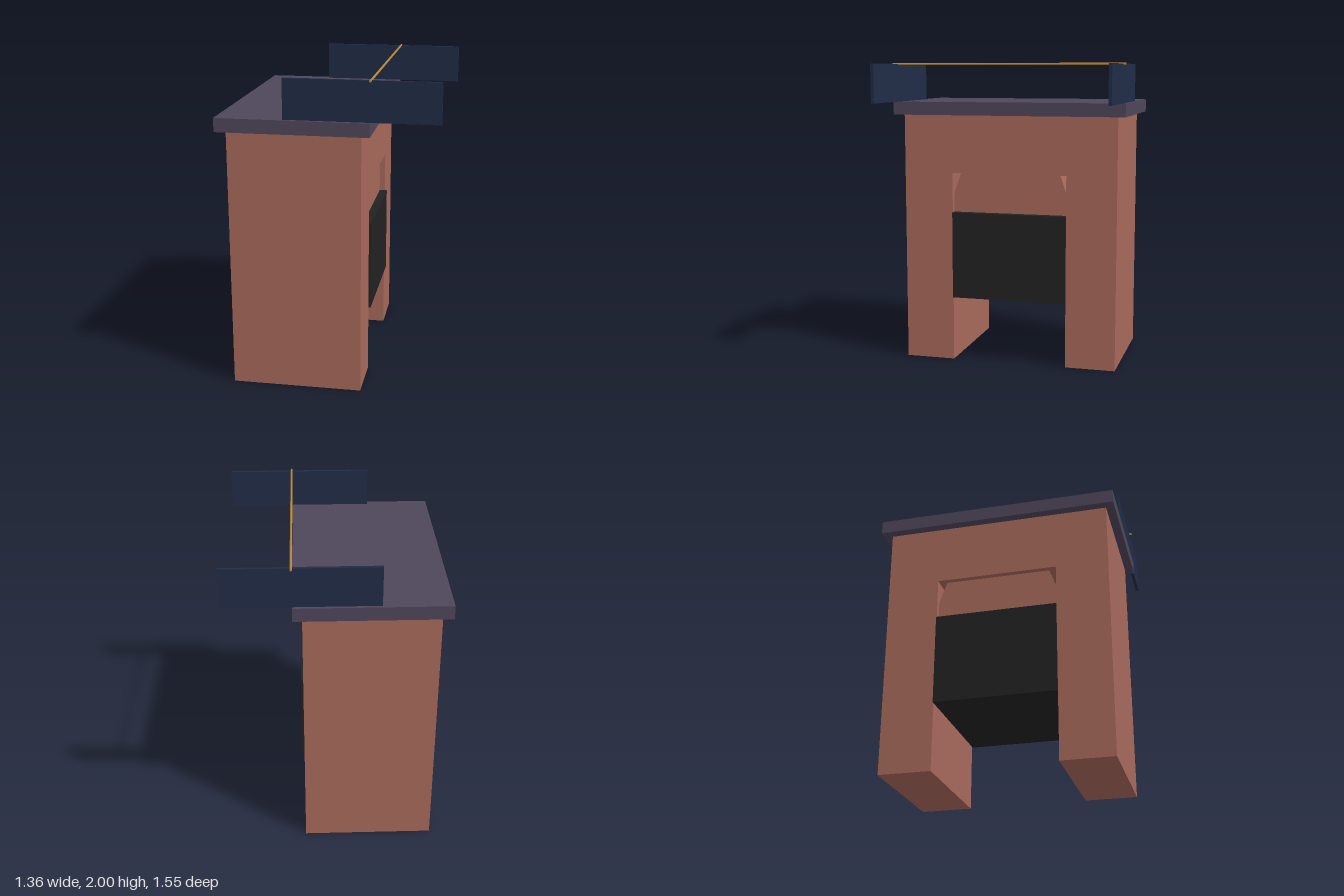
import * as THREE from 'three';

const material = (name, color) => {
  const m = new THREE.MeshStandardMaterial({ color });
  m.name = name;
  return m;
};

export function createModel() {
  const model = new THREE.Group();
  model.name = 'fireplace';

  const brick = material('brick red', 0xa8695b);
  const slate = material('slate purple', 0x4e465a);
  const navy = material('navy blue', 0x202c46);
  const black = material('soot black', 0x222222);
  const gold = material('brass gold', 0xb8862f);

  const add = (name, geometry, mat) => {
    const mesh = new THREE.Mesh(geometry, mat);
    mesh.name = name;
    model.add(mesh);
    return mesh;
  };

  // Box given by its minimum and maximum corners
  const box = (name, mat, [x0, y0, z0], [x1, y1, z1]) => {
    const mesh = add(name, new THREE.BoxGeometry(x1 - x0, y1 - y0, z1 - z0), mat);
    mesh.position.set((x0 + x1) / 2, (y0 + y1) / 2, (z0 + z1) / 2);
  };

  // Outline in the z-y plane, extruded along x from x0 to x1
  const slabAlongX = (name, mat, points, x0, x1) => {
    const shape = new THREE.Shape(points.map(([z, y]) => new THREE.Vector2(-z, y)));
    const geometry = new THREE.ExtrudeGeometry(shape, { depth: x1 - x0, bevelEnabled: false });
    geometry.rotateY(Math.PI / 2);
    geometry.translate(x0, 0, 0);
    add(name, geometry, mat);
  };

  // Chimney body: two legs joined over a through opening
  slabAlongX('brickSurround', brick, [
    [0.72, 0], [0.72, 1.665], [-0.72, 1.665], [-0.72, 0],
    [-0.387, 0], [-0.387, 1.277], [0.387, 1.277], [0.387, 0],
  ], -0.622, 0.203);

  // Recessed brick infill with clipped upper corners
  slabAlongX('hearthInfill', brick, [
    [0.387, 1.0], [0.387, 1.14], [0.338, 1.277],
    [-0.338, 1.277], [-0.387, 1.14], [-0.387, 1.0],
  ], -0.585, 0.166);

  // Firebox standing slightly proud of both faces
  box('firebox', black, [-0.636, 0.432, -0.387], [0.217, 1.012, 0.387]);

  // Mantel
  box('mantelSlab', slate, [-0.68, 1.662, -0.775], [0.26, 1.748, 0.775]);

  // Side panels on top, offset to the left, and the rail between them
  for (const side of [-1, 1]) {
    const z = side * 0.746;
    box('topPanel', navy, [-0.263, 1.748, z - 0.01], [0.676, 1.995, z + 0.01]);
  }
  const rail = add('topRail', new THREE.CylinderGeometry(0.007, 0.007, 1.55, 12), gold);
  rail.rotation.x = Math.PI / 2;
  rail.position.set(0.261, 1.993, 0);

  return model;
}
